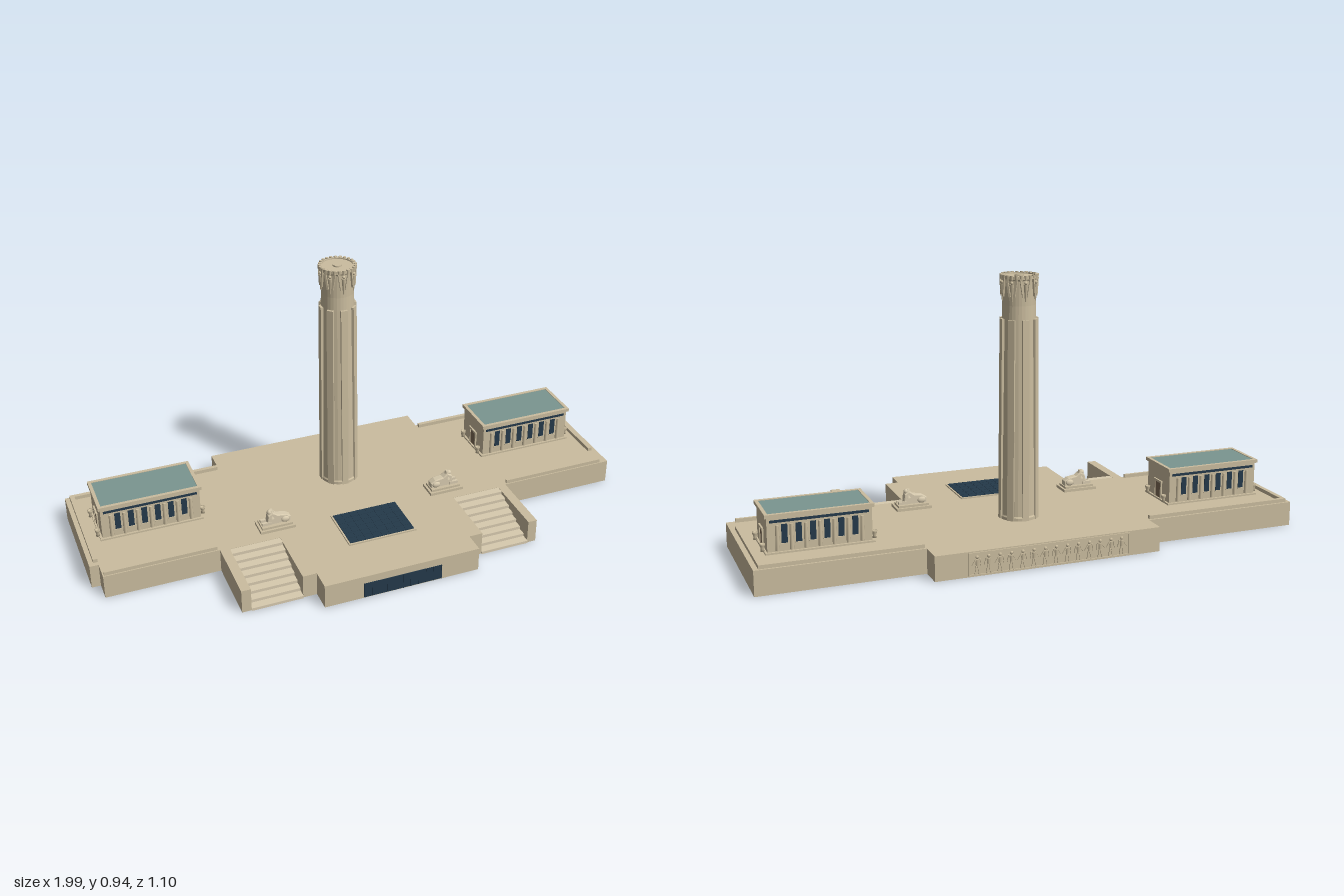
import * as THREE from 'three';

const mat = (color) => new THREE.MeshStandardMaterial({ color });
const stone = mat(0xcbbd9f), pale = mat(0xd8cbaf), glass = mat(0x24394a), teal = mat(0x7b9690), door = mat(0x7d6a55);
const DECK = 0.087;

function add(parent, name, geo, material, x = 0, y = 0, z = 0) {
  const m = new THREE.Mesh(geo, material);
  m.name = name;
  m.position.set(x, y, z);
  parent.add(m);
  return m;
}

// Box resting on height y
function box(parent, name, w, h, d, x, y, z, material = stone) {
  return add(parent, name, new THREE.BoxGeometry(w, h, d), material, x, y + h / 2, z);
}

function group(parent, name, x = 0, y = 0, z = 0) {
  const g = new THREE.Group();
  g.name = name;
  g.position.set(x, y, z);
  parent.add(g);
  return g;
}

// Stepped platform with two stair bays cut into its front
function platform(root) {
  const right = [[0.405, -0.398], [0.405, -0.318], [0.972, -0.318], [0.972, 0.183], [0.543, 0.183], [0.543, 0.424],
    [0.51, 0.424], [0.51, 0.19], [0.33, 0.19], [0.33, 0.424], [0.281, 0.424], [0.281, 0.5]];
  const left = right.map(([x, z]) => [-x, z]).reverse();
  left.splice(8, 2, [-0.945, 0.183], [-0.945, 0.113], [-0.976, 0.113], [-0.976, -0.318]);
  const shape = new THREE.Shape([...right, ...left].map(([x, z]) => new THREE.Vector2(x, -z)));
  const geo = new THREE.ExtrudeGeometry(shape, { depth: DECK, bevelEnabled: false });
  geo.rotateX(-Math.PI / 2);
  add(root, 'platform', geo, stone);

  // Low parapets around the wings
  for (const s of [-1, 1]) {
    const end = s > 0 ? 0.955 : 0.96;
    box(root, 'backParapet', end - 0.41, 0.013, 0.014, s * (end + 0.41) / 2, DECK, -0.304);
    box(root, 'endParapet', 0.016, 0.013, 0.4, s * (end - 0.008), DECK, -0.104);
    box(root, 'frontParapet', 0.39, 0.013, 0.01, s * 0.745, DECK, 0.174);
  }
}

// Stair flight with a sloping underside
function stairs(root, s) {
  const n = 8, run = 0.24 / n, rise = DECK / n;
  const pts = [new THREE.Vector2(0, DECK - 0.014), new THREE.Vector2(0, DECK - 0.001)];
  for (let i = 1; i <= n; i++) {
    pts.push(new THREE.Vector2(i * run, DECK - 0.001 - (i - 1) * rise));
    pts.push(new THREE.Vector2(i * run, Math.max(0, DECK - 0.001 - i * rise)));
  }
  pts.push(new THREE.Vector2(0.2, 0));
  const geo = new THREE.ExtrudeGeometry(new THREE.Shape(pts), { depth: 0.18, bevelEnabled: false });
  geo.rotateY(-Math.PI / 2);
  add(root, 'stairs', geo, pale, s * 0.42 + 0.09, 0, 0.188);
}

// Pavilion with windowed long sides and a door at each end
function pavilion(root, s) {
  const g = group(root, 'pavilion', s * 0.726, DECK, -0.105);
  const W = 0.35, D = 0.165, H = 0.128;
  box(g, 'pavilionPlinth', W + 0.016, 0.006, D + 0.016, 0, 0, 0);
  box(g, 'pavilionBody', W, H, D, 0, 0, 0);
  box(g, 'roofPanel', W - 0.01, 0.004, D - 0.01, 0, H, 0, teal);
  for (const t of [-1, 1]) {
    box(g, 'longCornice', W + 0.014, 0.012, 0.012, 0, H - 0.006, t * (D / 2 + 0.001));
    box(g, 'endCornice', 0.012, 0.012, D + 0.014, t * (W / 2 + 0.001), H - 0.006, 0);
    const face = t * D / 2;
    box(g, 'glassFrieze', W - 0.02, 0.009, 0.003, 0, 0.104, face, glass);
    for (let i = 0; i < 6; i++) {
      const x = (i - 2.5) * 0.047;
      box(g, 'window', 0.02, 0.064, 0.003, x, 0.033, face, glass);
      box(g, 'windowSill', 0.026, 0.004, 0.008, x, 0.029, face);
    }
    for (let i = 0; i < 7; i++) {
      add(g, 'halfColumn', new THREE.CylinderGeometry(0.006, 0.007, 0.086, 8), stone, (i - 3) * 0.047, 0.052, face);
    }
    // Doorway with flanking urns
    const e = t * W / 2;
    box(g, 'door', 0.004, 0.058, 0.038, e, 0.006, 0, door);
    box(g, 'doorLintel', 0.012, 0.008, 0.056, e, 0.064, 0);
    for (const q of [-1, 1]) {
      box(g, 'doorJamb', 0.01, 0.06, 0.007, e, 0.006, q * 0.023);
      const profile = [[0, 0], [0.007, 0], [0.005, 0.008], [0.009, 0.02], [0.01, 0.026], [0.007, 0.026], [0, 0.022]];
      add(g, 'urn', new THREE.LatheGeometry(profile.map((p) => new THREE.Vector2(...p)), 10), stone,
        e + t * 0.012, 0.006, q * 0.062);
    }
  }
}

// Reclining lion-bodied statue, facing outward
function statue(root, s) {
  const g = group(root, 'statue', s * 0.322, DECK, 0.116);
  if (s < 0) g.rotation.y = Math.PI;
  box(g, 'statueBase', 0.128, 0.01, 0.072, 0, 0, 0);
  box(g, 'statuePlinth', 0.112, 0.008, 0.056, 0, 0.01, 0);
  const side = new THREE.Shape([[-0.05, 0], [-0.05, 0.016], [-0.036, 0.025], [-0.005, 0.03], [0.012, 0.042],
    [0.026, 0.034], [0.03, 0]].map((p) => new THREE.Vector2(...p)));
  const body = new THREE.ExtrudeGeometry(side, { depth: 0.02, bevelSize: 0.003, bevelThickness: 0.004, bevelSegments: 2 });
  add(g, 'statueBody', body, pale, 0, 0.018, -0.01);
  for (const t of [-1, 1]) {
    box(g, 'forePaw', 0.034, 0.01, 0.01, 0.035, 0.018, t * 0.011, pale);
    const haunch = add(g, 'haunch', new THREE.SphereGeometry(0.013, 10, 8), pale, -0.033, 0.029, t * 0.014);
    haunch.scale.set(1.2, 0.9, 0.5);
  }
  const hood = add(g, 'headdress', new THREE.CylinderGeometry(0.008, 0.018, 0.03, 8), pale, 0.014, 0.055, 0);
  hood.scale.x = 0.75;
  add(g, 'head', new THREE.SphereGeometry(0.01, 10, 8), pale, 0.02, 0.061, 0);
}

// Round tower with tapering ribs and a carved crown
function tower(root) {
  const g = group(root, 'tower', 0, DECK, -0.106);
  const profile = [[0, 0], [0.069, 0], [0.069, 0.01], [0.066, 0.015], [0.058, 0.7], [0.057, 0.75], [0.06, 0.835],
    [0.063, 0.84], [0.063, 0.85], [0.054, 0.85], [0.054, 0.846], [0.016, 0.846], [0.016, 0.851], [0, 0.851]];
  const pts = [];
  profile.forEach((p) => pts.push(new THREE.Vector2(...p)));
  const shaft = new THREE.LatheGeometry(pts, 32).toNonIndexed();
  shaft.computeVertexNormals();
  add(g, 'towerShaft', shaft, stone);
  for (let i = 0; i < 8; i++) {
    const spoke = group(g, 'towerSide');
    spoke.rotation.y = i * Math.PI / 4;
    const rib = box(spoke, 'towerRib', 0.024, 0.703, 0.012, 0, 0, 0.0625);
    rib.rotation.x = -0.007;
    // Winged figure: body, head and two folded wings
    const figure = group(spoke, 'crownFigure', 0, 0.77, 0.06);
    add(figure, 'figureBody', new THREE.CylinderGeometry(0.008, 0.002, 0.058, 6), stone, 0, 0.024, 0);
    add(figure, 'figureHead', new THREE.SphereGeometry(0.006, 8, 6), stone, 0, 0.058, 0.001);
    for (const t of [-1, 1]) {
      const wing = box(figure, 'figureWing', 0.007, 0.062, 0.008, t * 0.013, 0.01, -0.001);
      wing.rotation.z = -t * 0.16;
    }
  }
  for (let i = 0; i < 24; i++) {
    const a = i * Math.PI / 12;
    add(g, 'crownScallop', new THREE.CylinderGeometry(0.006, 0.005, 0.016, 6), stone,
      Math.sin(a) * 0.061, 0.845, Math.cos(a) * 0.061);
  }
}

// Gridded skylight set in the deck
function skylight(root) {
  const g = group(root, 'skylight', 0, DECK, 0.231);
  box(g, 'skylightFrame', 0.25, 0.005, 0.185, 0, 0, 0);
  box(g, 'skylightGlass', 0.238, 0.003, 0.172, 0, 0.004, 0, glass);
  for (let i = 1; i < 8; i++) box(g, 'skylightBar', 0.0015, 0.001, 0.172, -0.119 + i * 0.02975, 0.007, 0, glass);
  for (let i = 1; i < 6; i++) box(g, 'skylightCrossbar', 0.238, 0.001, 0.0015, 0, 0.007, -0.086 + i * 0.0287, glass);
}

// Glazed front wall
function frontGlazing(root) {
  box(root, 'frontGlass', 0.28, 0.056, 0.004, 0, 0.003, 0.5, glass);
  for (let i = 0; i <= 10; i++) box(root, 'mullion', 0.003, 0.056, 0.007, -0.14 + i * 0.028, 0.003, 0.5, glass);
}

// Frieze of standing figures on the back wall
function backRelief(root) {
  const g = group(root, 'backRelief', 0, 0, -0.398);
  for (const y of [0.004, 0.079]) box(g, 'reliefBorder', 0.58, 0.004, 0.008, 0, y, 0);
  for (const s of [-1, 1]) box(g, 'reliefEnd', 0.004, 0.079, 0.008, s * 0.288, 0.004, 0);
  for (let i = 0; i < 14; i++) {
    const x = (i - 6.5) * 0.04, lean = i % 2 ? 1 : -1;
    add(g, 'reliefBody', new THREE.CylinderGeometry(0.009, 0.005, 0.026, 6), stone, x, 0.045, 0).scale.z = 0.5;
    add(g, 'reliefHead', new THREE.SphereGeometry(0.006, 8, 6), stone, x, 0.066, 0).scale.z = 0.7;
    for (const t of [-1, 1]) {
      box(g, 'reliefLeg', 0.005, 0.028, 0.007, x + t * 0.005, 0.008, 0).rotation.z = t * 0.15;
      box(g, 'reliefArm', 0.004, 0.024, 0.007, x + t * 0.012, 0.036, 0).rotation.z = t * 0.35 + lean * 0.2;
    }
  }
}

export function createModel() {
  const model = new THREE.Group();
  model.name = 'monument';
  // The whole complex stands at a slight angle to the front
  const root = group(model, 'complex', -0.023, 0, -0.006);
  root.rotation.y = THREE.MathUtils.degToRad(-14.3);
  platform(root);
  for (const s of [-1, 1]) {
    stairs(root, s);
    pavilion(root, s);
    statue(root, s);
  }
  tower(root);
  skylight(root);
  frontGlazing(root);
  backRelief(root);
  return model;
}
